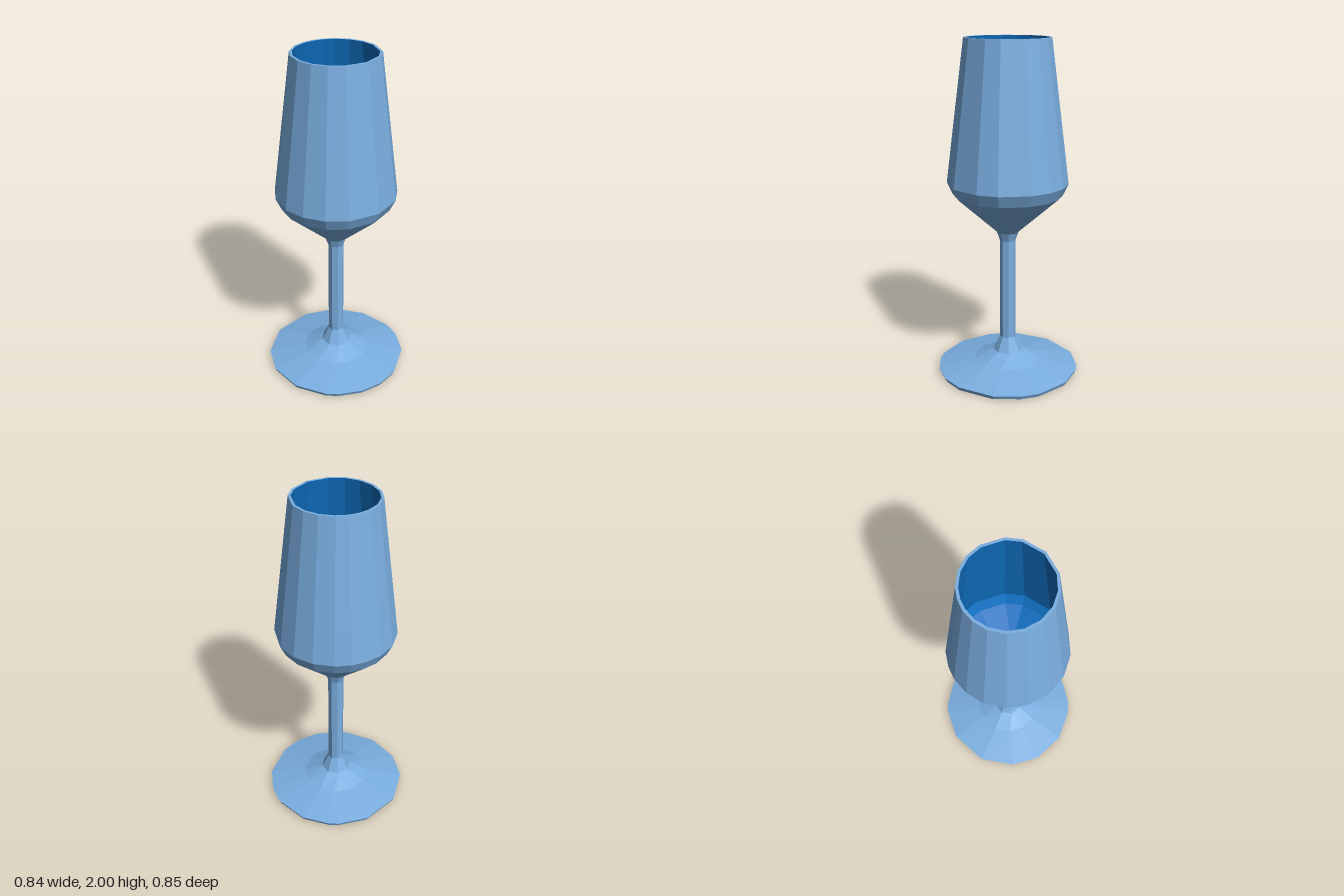
import * as THREE from 'three';

// Uneven facet angles in degrees, measured from +x towards +z
const BOWL = [-83, -70, -55, -35, -15, 5, 35, 55, 85, 115, 136, 157, 178, 200, 220, 241, 260];
const FOOT = [-83, -58, -50, -27, 0, 4, 16, 38, 69, 87, 105, 125, 135, 162, 190, 214, 244];
const STEM = [-68, -23, 22, 67, 112, 157, 202, 247];
const FLOOR = [-89, -27, 10, 49, 99, 149, 220];

// Gather the angles of a fine ring onto the nearest angles of a coarser one
const apart = (a, b) => Math.abs(((a - b + 540) % 360) - 180);
const snap = (fine, coarse) =>
  fine.map(a => coarse.reduce((best, c) => (apart(a, c) < apart(a, best) ? c : best)));

// Faceted skin through rings of [radius, height, angles]; upward rings face outwards
function loft(name, rings, material) {
  const points = rings.map(([r, y, angles]) => angles.map(a => {
    const t = THREE.MathUtils.degToRad(a);
    return new THREE.Vector3(r * Math.cos(t), y, r * Math.sin(t));
  }));
  const out = [];
  const tri = (a, b, c) => {
    if (new THREE.Triangle(a, b, c).getArea() > 1e-7) out.push(a, b, c);
  };
  for (let k = 0; k < points.length - 1; k++) {
    const low = points[k], high = points[k + 1], n = low.length;
    for (let i = 0; i < n; i++) {
      const j = (i + 1) % n;
      tri(low[i], high[i], low[j]);
      tri(high[i], high[j], low[j]);
    }
  }
  const geometry = new THREE.BufferGeometry().setFromPoints(out);
  geometry.computeVertexNormals();
  const mesh = new THREE.Mesh(geometry, material);
  mesh.name = name;
  return mesh;
}

export function createModel() {
  const glass = new THREE.MeshStandardMaterial({ color: 0x7aaee0 });
  glass.name = 'pale blue glass';
  const inside = new THREE.MeshStandardMaterial({ color: 0x0f6dbd });
  inside.name = 'deep blue inside';

  const footToStem = snap(FOOT, STEM);
  const bowlToStem = snap(BOWL, STEM);
  const bowlToFloor = snap(BOWL, FLOOR);

  const group = new THREE.Group();
  group.name = 'wineGlass';
  group.add(
    // Flat underside, thin edge and flared top
    loft('foot', [
      [0, 0.005, FOOT], [0.415, 0.005, FOOT], [0.425, 0.028, FOOT],
      [0.2, 0.077, FOOT], [0.09, 0.128, footToStem], [0.047, 0.215, footToStem],
    ], glass),
    loft('stem', [[0.047, 0.215, STEM], [0.047, 0.83, STEM]], glass),
    // Outer bowl, ending in the rim
    loft('bowl', [
      [0.047, 0.83, bowlToStem], [0.065, 0.88, bowlToStem], [0.32, 1.11, BOWL],
      [0.353, 1.18, BOWL], [0.246, 2, BOWL], [0.231, 2, BOWL],
    ], glass),
    // Inner wall and floor
    loft('bowlInside', [
      [0.231, 2, BOWL], [0.335, 1.18, BOWL], [0.3, 1.12, BOWL],
      [0.115, 0.95, bowlToFloor], [0, 0.95, bowlToFloor],
    ], inside),
  );
  return group;
}
